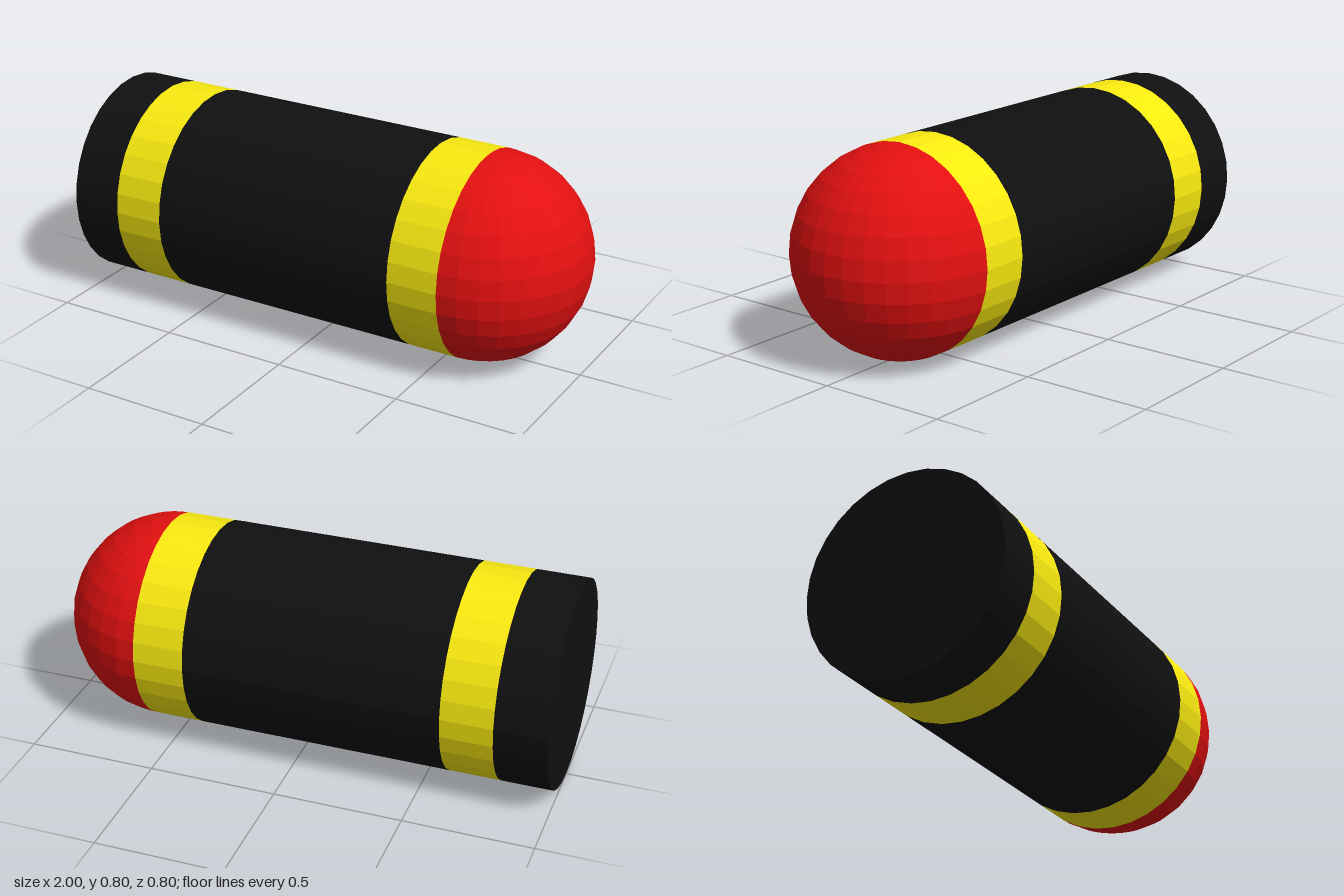
import * as THREE from 'three';

const RADIUS = 0.4;
const SIDES = 32;

function paint(color) {
  return new THREE.MeshStandardMaterial({ color, flatShading: true });
}

export function createModel() {
  const model = new THREE.Group();
  model.name = 'capsule';

  const black = paint(0x101010);
  const yellow = paint(0xf9ea10);
  const red = paint(0xe31010);

  function add(name, geometry, material) {
    const mesh = new THREE.Mesh(geometry, material);
    mesh.name = name;
    model.add(mesh);
    return mesh;
  }

  // Body sections laid end to end along x
  const sections = [
    ['tailSection', -1, -0.8, black],
    ['rearBand', -0.8, -0.6, yellow],
    ['mainBody', -0.6, 0.4, black],
    ['noseBand', 0.4, 0.6, yellow],
  ];
  for (const [name, x0, x1, material] of sections) {
    const tube = new THREE.CylinderGeometry(RADIUS, RADIUS, x1 - x0, SIDES, 1, true);
    tube.rotateZ(Math.PI / 2);
    add(name, tube, material).position.set((x0 + x1) / 2, RADIUS, 0);
  }

  // Flat disc closing the tail
  const disc = new THREE.CircleGeometry(RADIUS, SIDES).rotateY(-Math.PI / 2);
  add('tailCap', disc, black).position.set(-1, RADIUS, 0);

  // Half sphere bulging towards +x, with its poles up and down
  const dome = new THREE.SphereGeometry(RADIUS, SIDES / 2, SIDES / 2, Math.PI / 2, Math.PI);
  add('nose', dome, red).position.set(0.6, RADIUS, 0);

  return model;
}
